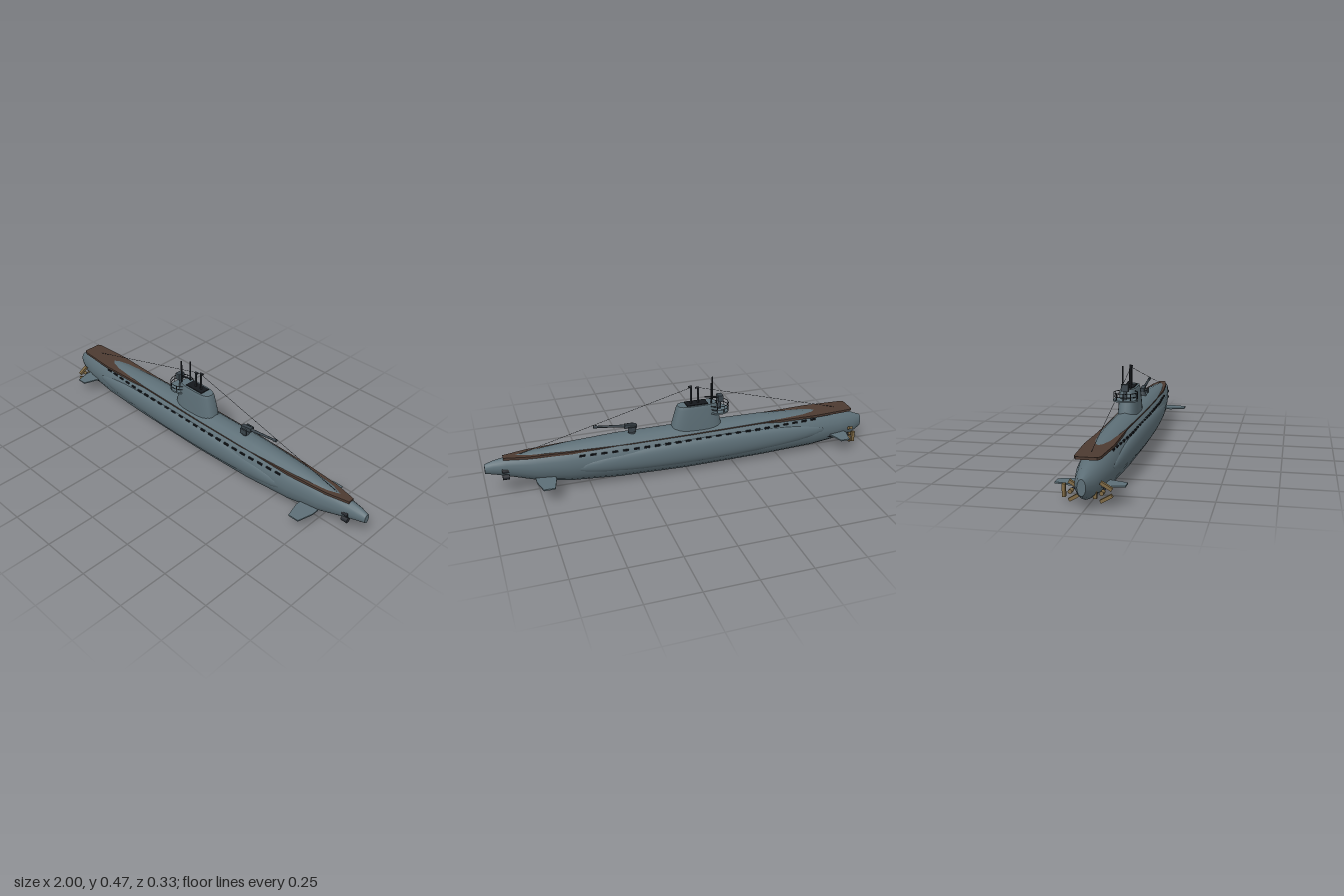
import * as THREE from 'three';

const mat = (name, hex) => Object.assign(new THREE.MeshStandardMaterial({ color: hex }), { name });

// Surface through equal-length rings of points, with flat end caps
function loft(rings) {
  const n = rings[0].length, pos = [], idx = [];
  rings.forEach(r => r.forEach(p => pos.push(...p)));
  for (let i = 0; i < rings.length - 1; i++) for (let j = 0; j < n; j++) {
    const k = (j + 1) % n, a = i * n + j, b = i * n + k;
    idx.push(a, a + n, b, b, a + n, b + n);
  }
  [rings[0], rings[rings.length - 1]].forEach((r, e) => {
    const c = pos.length / 3;
    const mid = [0, 1, 2].map(q => r.reduce((s, p) => s + p[q], 0) / n);
    pos.push(...mid);
    r.forEach(p => pos.push(...p));
    for (let j = 0; j < n; j++) {
      const a = c + 1 + j, b = c + 1 + (j + 1) % n;
      idx.push(c, e ? b : a, e ? a : b);
    }
  });
  const g = new THREE.BufferGeometry();
  g.setAttribute('position', new THREE.Float32BufferAttribute(pos, 3));
  g.setIndex(idx);
  g.computeVertexNormals();
  return g;
}

// Horizontal plate from an outline of [x, z] points, top face at y
function plate(points, y, thick) {
  const shape = new THREE.Shape(points.map(p => new THREE.Vector2(p[0], p[1])));
  const g = new THREE.ExtrudeGeometry(shape, { depth: thick, bevelEnabled: false });
  return g.rotateX(Math.PI / 2).translate(0, y, 0);
}

// Hull stations: x, top, bottom, half width
const STATIONS = [
  [-1, 0.14, 0.07, 0.018], [-0.94, 0.165, 0.038, 0.045], [-0.85, 0.185, 0.028, 0.065],
  [-0.7, 0.212, 0.013, 0.083], [-0.42, 0.23, 0.004, 0.094], [0, 0.238, 0, 0.096],
  [0.35, 0.24, 0.01, 0.092], [0.6, 0.23, 0.03, 0.078], [0.76, 0.217, 0.06, 0.06],
  [0.9, 0.203, 0.105, 0.036], [0.96, 0.193, 0.123, 0.026], [1, 0.18, 0.132, 0.016]
];

function hullSide(x, y) {
  const i = Math.max(1, STATIONS.findIndex(s => s[0] >= x));
  const a = STATIONS[i - 1], b = STATIONS[i], t = (x - a[0]) / (b[0] - a[0]);
  const [, top, bot, w] = a.map((v, q) => v + (b[q] - v) * t);
  const d = (y - (top + bot) / 2) / ((top - bot) / 2);
  return w * Math.sqrt(Math.max(0, 1 - d * d));
}

export function createModel() {
  const root = new THREE.Group();
  const paint = mat('hull grey', 0x5d6f77);
  const wood = mat('deck brown', 0x4c3a31);
  const dark = mat('dark metal', 0x23272d);
  const steel = mat('gun grey', 0x3a444b);
  const black = mat('opening black', 0x14171b);
  const bronze = mat('bronze', 0x7d6843);

  const add = (name, geo, m, x = 0, y = 0, z = 0, parent = root) => {
    const mesh = new THREE.Mesh(geo, m);
    mesh.name = name;
    mesh.position.set(x, y, z);
    parent.add(mesh);
    return mesh;
  };
  // Round bar between two points
  const bar = (name, a, b, r, m, r2 = r, sides = 10) => {
    const p = new THREE.Vector3(...a), q = new THREE.Vector3(...b), d = q.clone().sub(p);
    const mesh = add(name, new THREE.CylinderGeometry(r2, r, d.length(), sides), m);
    mesh.position.copy(p).add(q).multiplyScalar(0.5);
    mesh.quaternion.setFromUnitVectors(new THREE.Vector3(0, 1, 0), d.normalize());
    return mesh;
  };

  // Hull
  const SIDES = 16;
  add('hull', loft(STATIONS.map(([x, top, bot, w]) => Array.from({ length: SIDES }, (_, j) => {
    const a = j / SIDES * Math.PI * 2;
    return [x, (top + bot) / 2 + Math.sin(a) * (top - bot) / 2, Math.cos(a) * w];
  }))), paint);

  // Deck
  const half = [[-0.92, 0.045], [-0.9, 0.055], [-0.7, 0.066], [-0.55, 0.061], [-0.4, 0.058],
    [0, 0.066], [0.3, 0.066], [0.6, 0.058], [0.8, 0.04], [0.91, 0.016]];
  const outline = [...half, ...half.map(([x, z]) => [x, -z]).reverse()];
  add('deck', plate(outline, 0.208, 0.012), wood);

  for (const s of [1, -1]) {
    // Saddle tank
    add('saddleTank', new THREE.SphereGeometry(1, 32, 16).scale(0.67, 0.066, 0.034), paint, -0.09, 0.122, s * 0.071);

    // Limber holes along the side
    for (let i = 0; i < 24; i++) {
      const x = -0.69 + i * 0.0535;
      add('limberHole', new THREE.BoxGeometry(0.028, 0.008, 0.008), black, x, 0.184, s * hullSide(x, 0.184));
    }

    // Diving planes
    add('bowPlane', plate([[0.675, s * 0.045], [0.77, s * 0.045], [0.77, s * 0.085], [0.75, s * 0.165],
      [0.695, s * 0.165], [0.675, s * 0.085]], 0.089, 0.007), paint);
    add('sternPlane', plate([[-0.885, s * 0.035], [-0.795, s * 0.035], [-0.795, s * 0.07], [-0.82, s * 0.148],
      [-0.868, s * 0.148], [-0.885, s * 0.08]], 0.083, 0.007), paint);

    // Torpedo tube mouths
    for (const [y, z] of [[0.11, 0.025], [0.145, 0.026]])
      bar('torpedoTube', [0.89, y, s * z], [0.922, y, s * z], 0.0135, dark, 0.0135, 12);

    // Shaft, hub and three propeller blades
    bar('propellerShaft', [-0.925, 0.066, s * 0.065], [-0.72, 0.07, s * 0.055], 0.006, dark);
    bar('propellerHub', [-0.935, 0.066, s * 0.065], [-0.905, 0.066, s * 0.065], 0.009, bronze);
    for (let k = 0; k < 3; k++) {
      const a = k * Math.PI * 2 / 3;
      const blade = add('propellerBlade', new THREE.BoxGeometry(0.016, 0.055, 0.014), bronze,
        -0.915, 0.066 + Math.sin(a) * 0.03, s * 0.065 - Math.cos(a) * 0.03);
      blade.rotation.x = a;
    }
  }

  // Rudder
  add('rudder', new THREE.BoxGeometry(0.055, 0.115, 0.01), paint, -0.895, 0.098, 0);

  // Conning tower, tapering towards the top
  const tower = [[0.2, -0.195, 0.075, 0.051], [0.25, -0.185, 0.066, 0.048], [0.33, -0.167, 0.044, 0.042],
    [0.345, -0.162, 0.038, 0.037]];
  add('conningTower', loft(tower.map(([y, x0, x1, w]) => Array.from({ length: 24 }, (_, j) => {
    const a = j / 24 * Math.PI * 2, sq = v => Math.sign(v) * Math.abs(v) ** 0.65;
    return [(x0 + x1) / 2 + sq(Math.cos(a)) * (x1 - x0) / 2, y, sq(Math.sin(a)) * w];
  }))), paint);
  add('bridgeWell', new THREE.BoxGeometry(0.11, 0.006, 0.052), black, -0.06, 0.346, 0);

  // Gun platform with railing
  add('gunPlatform', new THREE.CylinderGeometry(0.06, 0.06, 0.008, 24), paint, -0.172, 0.296, 0);
  for (const y of [0.316, 0.334]) {
    const rail = add('platformRail', new THREE.TorusGeometry(0.058, 0.0018, 6, 32), dark, -0.172, y, 0);
    rail.rotation.x = Math.PI / 2;
  }
  for (let k = 0; k < 10; k++) {
    const a = k * Math.PI / 5, x = -0.172 + Math.cos(a) * 0.058, z = Math.sin(a) * 0.058;
    bar('railPost', [x, 0.298, z], [x, 0.334, z], 0.0018, dark, 0.0018, 6);
  }

  // Anti-aircraft gun
  bar('flakPedestal', [-0.183, 0.298, 0], [-0.183, 0.35, 0], 0.009, steel);
  add('flakMount', new THREE.BoxGeometry(0.026, 0.034, 0.036), steel, -0.186, 0.358, 0);
  bar('flakBarrel', [-0.186, 0.36, 0], [-0.105, 0.374, 0], 0.004, dark);

  // Masts and periscopes
  bar('mast', [-0.152, 0.33, 0.02], [-0.152, 0.467, 0.02], 0.004, dark);
  bar('mast', [-0.132, 0.33, -0.022], [-0.132, 0.454, -0.022], 0.004, dark);
  for (const [x, top] of [[-0.07, 0.43], [-0.033, 0.44]]) {
    bar('periscope', [x, 0.34, 0], [x, top, 0], 0.005, dark);
    bar('periscopeHead', [x - 0.004, top, 0], [x + 0.014, top, 0], 0.005, dark);
  }

  // Antenna wires
  bar('antennaWire', [-0.07, 0.43, 0], [-0.85, 0.205, 0], 0.001, dark, 0.001, 5);
  bar('antennaWire', [-0.07, 0.43, 0], [-0.033, 0.435, 0], 0.001, dark, 0.001, 5);
  bar('antennaWire', [-0.033, 0.435, 0], [0.84, 0.207, 0], 0.001, dark, 0.001, 5);

  // Deck gun
  bar('deckGunBase', [0.275, 0.23, 0], [0.275, 0.262, 0], 0.02, steel, 0.014, 12);
  add('deckGunBreech', new THREE.BoxGeometry(0.062, 0.02, 0.02), steel, 0.282, 0.272, 0).rotation.z = 0.13;
  for (const s of [1, -1]) {
    add('deckGunShield', new THREE.BoxGeometry(0.04, 0.026, 0.007), steel, 0.28, 0.262, s * 0.024);
  }
  bar('deckGunTrunnion', [0.282, 0.266, -0.024], [0.282, 0.266, 0.024], 0.006, steel);
  bar('deckGunBarrel', [0.27, 0.271, 0], [0.46, 0.295, 0], 0.008, steel, 0.005);
  bar('deckGunMuzzle', [0.45, 0.294, 0], [0.467, 0.296, 0], 0.008, steel);

  return root;
}
